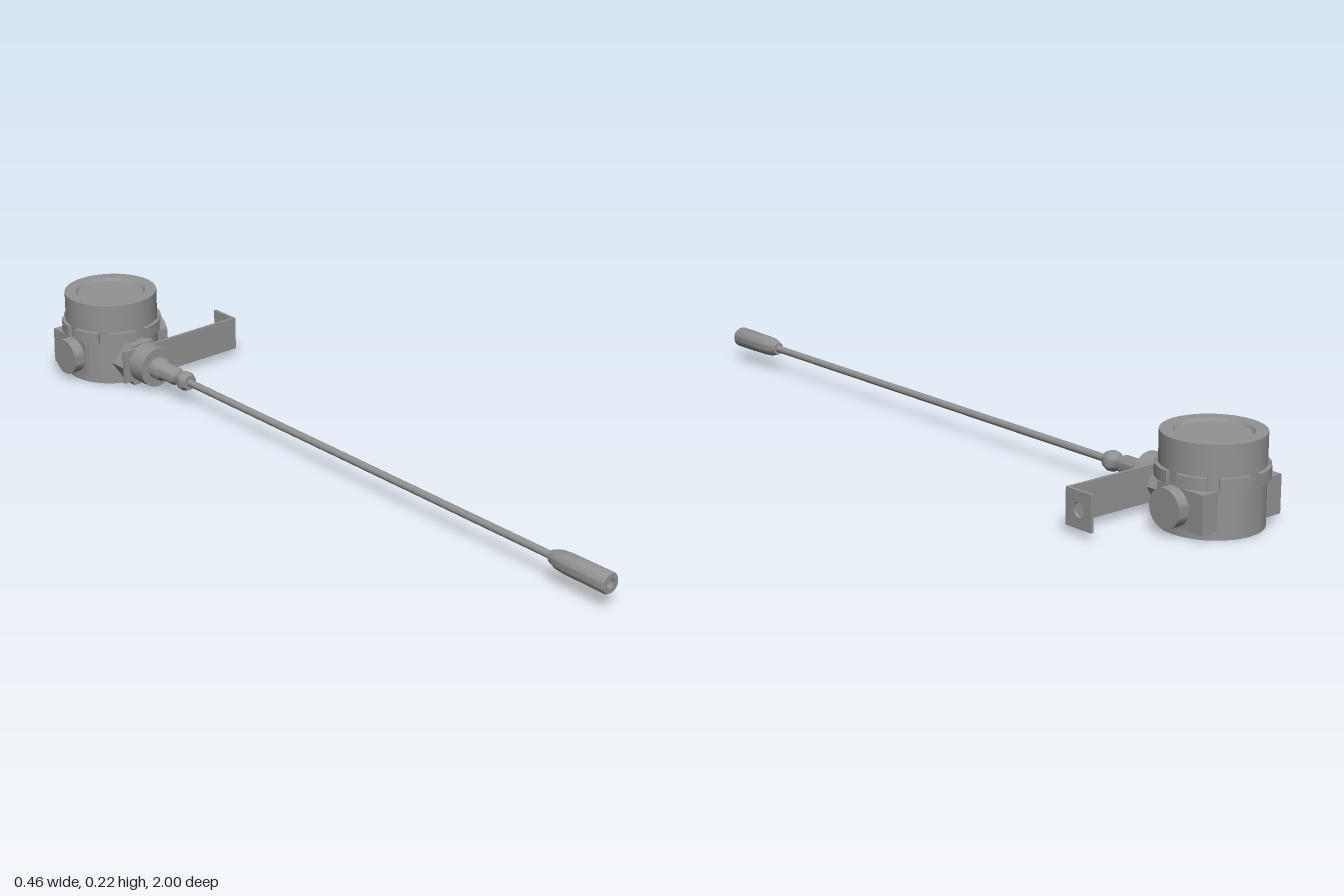
import * as THREE from 'three';
import { toCreasedNormals } from 'three/addons/utils/BufferGeometryUtils.js';

const HX = -0.074, HZ = -0.865; // housing axis
const PX = -0.083, PY = 0.065;  // probe axis

export function createModel() {
  const model = new THREE.Group();
  const material = new THREE.MeshStandardMaterial({ color: 0x929292 });

  const add = (name, geometry, x = 0, y = 0, z = 0) => {
    const mesh = new THREE.Mesh(toCreasedNormals(geometry, 0.6), material);
    mesh.name = name;
    mesh.position.set(x, y, z);
    model.add(mesh);
    return mesh;
  };
  const lathe = (points, sides) =>
    new THREE.LatheGeometry(points.map(([r, h]) => new THREE.Vector2(r, h)), sides);
  // Lathe whose heights run along +z
  const latheZ = (points, sides) => lathe(points, sides).rotateX(Math.PI / 2);

  // Round housing and screw cap with a recessed window
  add('housingBody', lathe([[0, 0], [0.124, 0], [0.124, 0.117], [0, 0.117]], 48), HX, 0, HZ);
  add('cap', lathe([
    [0, 0.115], [0.124, 0.115], [0.124, 0.223], [0.094, 0.223], [0.088, 0.215], [0, 0.215],
  ], 48), HX, 0, HZ);

  // Grip ring of eight lugs with gaps between them
  const gap = 0.11;
  for (let i = 0; i < 8; i++) {
    const start = i * Math.PI / 4 + gap, end = (i + 1) * Math.PI / 4 - gap;
    const lug = new THREE.Shape();
    lug.absarc(0, 0, 0.134, start, end, false);
    lug.absarc(0, 0, 0.118, end, start, true);
    lug.closePath();
    const geometry = new THREE.ExtrudeGeometry(lug, { depth: 0.03, bevelEnabled: false, curveSegments: 5 });
    add('capLug', geometry.rotateX(-Math.PI / 2), HX, 0.117, HZ);
  }

  // Side bosses with round cable ports
  for (const side of [-1, 1]) {
    add('portBoss', new THREE.BoxGeometry(0.07, 0.095, 0.145), HX + side * 0.091, 0.0675, HZ - 0.0225);
    add('cablePort', new THREE.CylinderGeometry(0.048, 0.048, 0.062, 32).rotateZ(Math.PI / 2),
      HX + side * 0.125, 0.068, HZ - 0.004);
  }

  // Hexagonal neck joining housing and probe fitting
  add('neck', new THREE.CylinderGeometry(0.066, 0.066, 0.1, 6, 1, false, Math.PI / 6).rotateX(Math.PI / 2),
    PX, 0.06, -0.762);

  // Mounting bracket: flat strip with a bent, drilled tab
  add('bracketStrip', new THREE.BoxGeometry(0.381, 0.09, 0.008), 0.038, 0.065, -0.708);
  const tab = new THREE.Shape();
  tab.moveTo(0, -0.045);
  tab.lineTo(0.082, -0.045);
  tab.lineTo(0.082, 0.045);
  tab.lineTo(0, 0.045);
  tab.closePath();
  const hole = new THREE.Path();
  hole.absarc(0.042, 0, 0.018, 0, Math.PI * 2, true);
  tab.holes.push(hole);
  add('bracketTab', new THREE.ExtrudeGeometry(tab, { depth: 0.008, bevelEnabled: false })
    .rotateY(Math.PI / 2), 0.2205, 0.065, -0.706);

  // Stepped probe fitting
  add('fitting', latheZ([
    [0, -0.706], [0.054, -0.706], [0.054, -0.65], [0.03, -0.65],
    [0.03, -0.625], [0.024, -0.615], [0.024, -0.57], [0.019, -0.562], [0.019, -0.548],
    [0.025, -0.537], [0.026, -0.525], [0.02, -0.51], [0, -0.51],
  ], 32), PX, PY, 0);

  // Long rod
  add('rod', new THREE.CylinderGeometry(0.0095, 0.0095, 1.36, 20).rotateX(Math.PI / 2), PX, PY, 0.16);

  // Sensor tip with an open end
  add('sensorTip', latheZ([
    [0, 0.82], [0.016, 0.82], [0.024, 0.845], [0.026, 0.87], [0.027, 0.995],
    [0.024, 1], [0.013, 1], [0.013, 0.985], [0, 0.985],
  ], 28), PX, PY, 0);

  return model;
}
